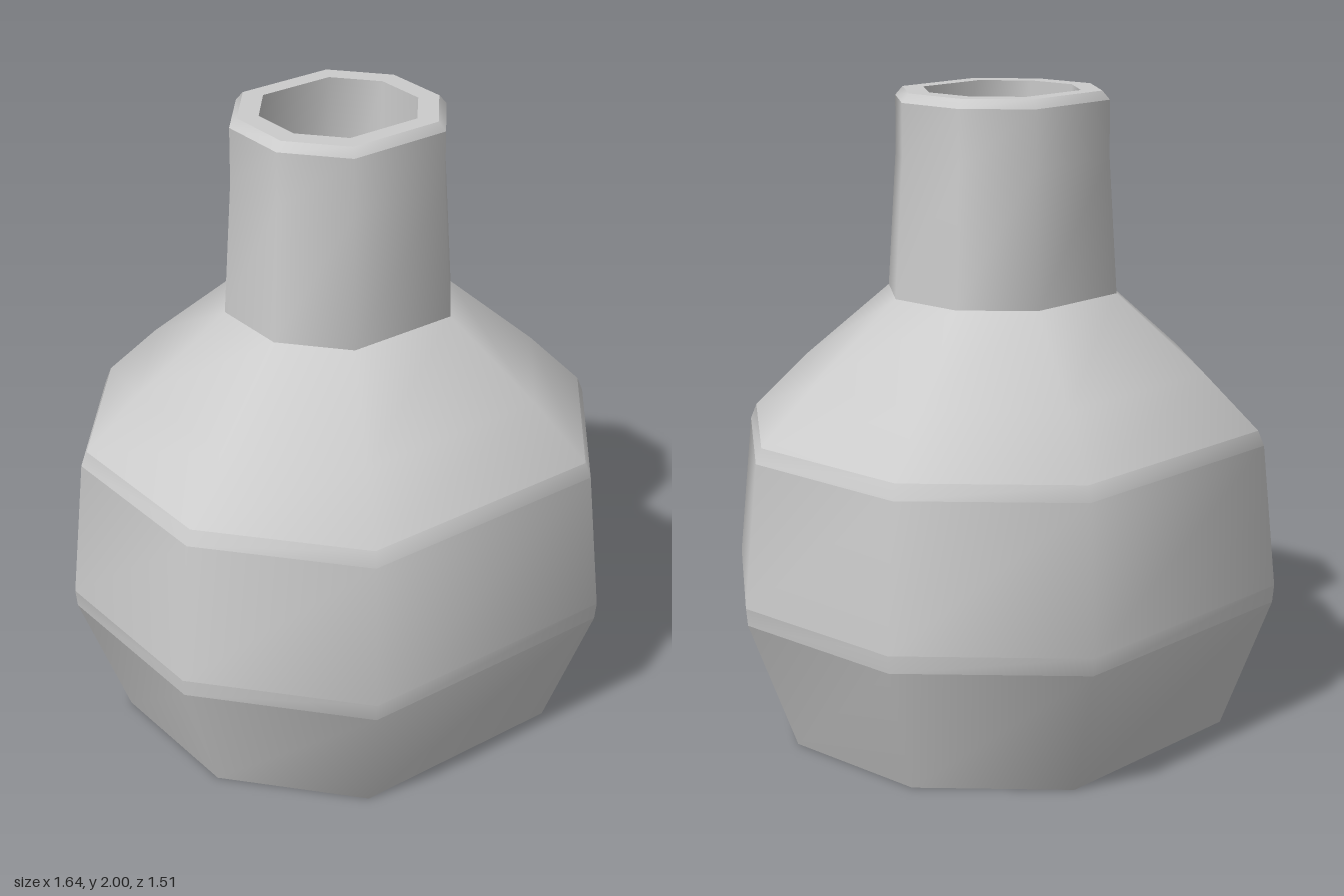
import * as THREE from 'three';

// Octagonal outline for half-width 1, going from +x towards +z
const quarter = [[1, 0.37], [0.535, 0.92]];
const outline = [
  ...quarter,
  ...quarter.map(([x, z]) => [-x, z]).reverse(),
  ...quarter.map(([x, z]) => [-x, -z]),
  ...quarter.map(([x, z]) => [x, -z]).reverse(),
];

// Skin a list of [halfWidth, y] rings; smooth within a band, sharp between bands
function band(name, rings, material) {
  const n = outline.length;
  const positions = [];
  const indices = [];
  for (const [r, y] of rings) {
    for (const [x, z] of outline) positions.push(x * r, y, z * r);
  }
  for (let k = 0; k < rings.length - 1; k++) {
    for (let i = 0; i < n; i++) {
      const j = (i + 1) % n;
      const a = k * n + i, b = k * n + j;
      if (rings[k][0] > 0) indices.push(a, a + n, b);
      if (rings[k + 1][0] > 0) indices.push(b, a + n, b + n);
    }
  }
  const geometry = new THREE.BufferGeometry();
  geometry.setAttribute('position', new THREE.Float32BufferAttribute(positions, 3));
  geometry.setIndex(indices);
  geometry.computeVertexNormals();
  const mesh = new THREE.Mesh(geometry, material);
  mesh.name = name;
  return mesh;
}

export function createModel() {
  const group = new THREE.Group();
  group.name = 'bottle';
  const material = new THREE.MeshStandardMaterial({ color: 0xcccccc });

  // Bands run from the base centre, up the outside, over the rim and down inside
  const bands = {
    base: [[0, 0], [0.67, 0]],
    lowerBody: [[0.67, 0], [0.815, 0.415]],
    lowerBevel: [[0.815, 0.415], [0.82, 0.47]],
    body: [[0.82, 0.47], [0.778, 0.92]],
    upperBevel: [[0.778, 0.92], [0.76, 0.967]],
    shoulder: [[0.76, 0.967], [0.6, 1.14], [0.34, 1.38]],
    neck: [[0.34, 1.38], [0.315, 1.8], [0.314, 1.973]],
    rimBevel: [[0.314, 1.973], [0.292, 2]],
    rim: [[0.292, 2], [0.23, 2]],
    neckInside: [[0.23, 2], [0.23, 1.4]],
    insideFloor: [[0.23, 1.4], [0, 1.4]],
  };
  for (const [name, rings] of Object.entries(bands)) {
    group.add(band(name, rings, material));
  }
  return group;
}
